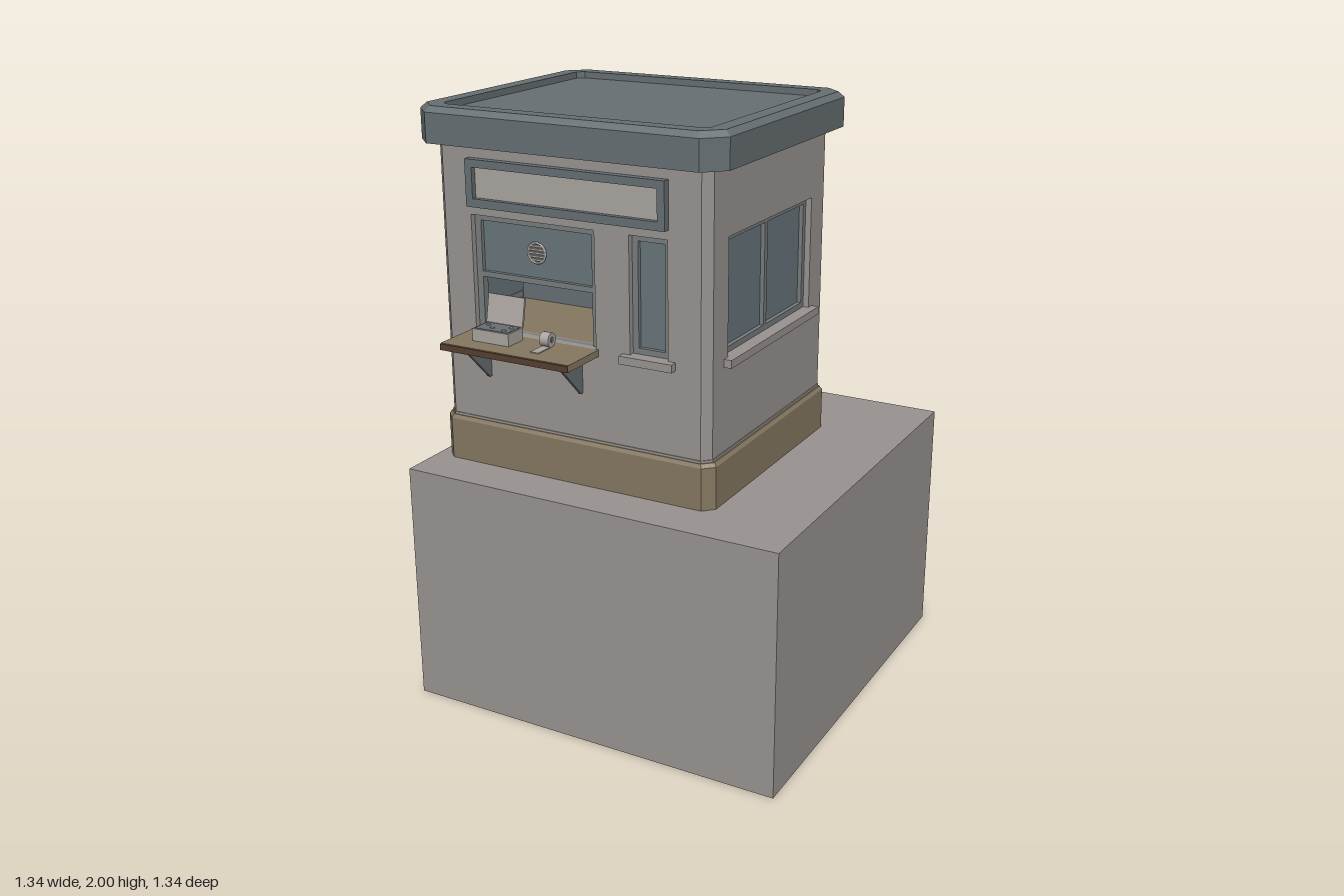
import * as THREE from 'three';

const flat = (name, color) => {
  const m = new THREE.MeshStandardMaterial({ color });
  m.name = name;
  return m;
};

// Chamfered rectangle, counter-clockwise seen from above: half sizes and corner cut
const octagon = (hx, hz, c) => [
  [hx, hz - c], [hx, c - hz], [hx - c, -hz], [c - hx, -hz],
  [-hx, c - hz], [-hx, hz - c], [c - hx, hz], [hx - c, hz],
];

// Skin over stacked chamfered rectangles [halfX, halfZ, cut, y], closed at both ends
function loft(levels) {
  const rings = levels.map(([hx, hz, c, y]) => octagon(hx, hz, c).map(([x, z]) => new THREE.Vector3(x, y, z)));
  const pos = [];
  const tri = (...pts) => pts.forEach((p) => pos.push(p.x, p.y, p.z));
  for (let r = 0; r < rings.length - 1; r++) {
    for (let i = 0; i < 8; i++) {
      const j = (i + 1) % 8, a = rings[r], b = rings[r + 1];
      tri(a[i], a[j], b[j]);
      tri(a[i], b[j], b[i]);
    }
  }
  const low = rings[0], top = rings[rings.length - 1];
  for (let i = 1; i < 7; i++) {
    tri(top[0], top[i], top[i + 1]);
    tri(low[0], low[i + 1], low[i]);
  }
  const g = new THREE.BufferGeometry();
  g.setAttribute('position', new THREE.Float32BufferAttribute(pos, 3));
  g.computeVertexNormals();
  return g;
}

// Rectangular panel with rectangular holes [x0, x1, y0, y1], from z = back to back + depth
function panel([x0, x1, y0, y1], holes, back, depth) {
  const outline = (P, a, b, c, d) => new P([[a, c], [b, c], [b, d], [a, d]].map((p) => new THREE.Vector2(...p)));
  const shape = outline(THREE.Shape, x0, x1, y0, y1);
  holes.forEach((h) => shape.holes.push(outline(THREE.Path, ...h)));
  return new THREE.ExtrudeGeometry(shape, { depth, bevelEnabled: false }).translate(0, 0, back);
}

export function createModel() {
  const stone = flat('warm grey', 0x989390);
  const slate = flat('slate', 0x666f72);
  const glass = flat('glass', 0x68757a);
  const frameMat = flat('frame grey', 0x777c7d);
  const wood = flat('wood', 0x857860);
  const edgeMat = flat('dark wood', 0x57402f);
  const pale = flat('pale', 0xa9a49f);

  const model = new THREE.Group();
  const add = (parent, name, geo, mat, x = 0, y = 0, z = 0) => {
    const m = new THREE.Mesh(geo, mat);
    m.name = name;
    m.position.set(x, y, z);
    parent.add(m);
    return m;
  };
  // Box given by its extents
  const block = (parent, name, mat, x0, x1, y0, y1, z0, z1) => add(parent, name,
    new THREE.BoxGeometry(x1 - x0, y1 - y0, z1 - z0), mat, (x0 + x1) / 2, (y0 + y1) / 2, (z0 + z1) / 2);

  // Ground block
  block(model, 'groundBlock', stone, -0.663, 0.67, 0, 0.83, -0.67, 0.66);

  // The booth is built around its own centre
  const CX = -0.131, CZ = 0.068, HX = 0.484, HZ = 0.424, CUT = 0.027;
  const Y0 = 0.97, Y1 = 1.89, WIN0 = 1.29, WIN1 = 1.665;
  const booth = new THREE.Group();
  booth.name = 'booth';
  booth.position.set(CX, 0, CZ);
  model.add(booth);

  add(booth, 'plinth', loft([
    [0.5, 0.437, 0.034, 0.83], [0.5, 0.437, 0.034, 0.97], [0.492, 0.43, 0.032, 0.982],
  ]), wood);
  add(booth, 'baseTrim', loft([[0.487, 0.427, 0.029, 0.98], [0.487, 0.427, 0.029, 0.99]]), stone);

  // Roof with chamfered fascia and a sunken top
  add(booth, 'roof', loft([
    [0.541, 0.478, 0.065, 1.886], [0.541, 0.478, 0.065, 1.982], [0.523, 0.46, 0.058, 2],
    [0.469, 0.407, 0.022, 2], [0.469, 0.407, 0.022, 1.978],
  ]), slate);

  // Cut corners between the walls
  for (const sx of [-1, 1]) {
    for (const sz of [-1, 1]) {
      const s = new THREE.Shape([[0, 0], [sx * CUT, 0], [0, sz * CUT]].map((p) => new THREE.Vector2(...p)));
      const g = new THREE.ExtrudeGeometry(s, { depth: Y1 - Y0, bevelEnabled: false });
      g.rotateX(Math.PI / 2);
      add(booth, 'corner', g, stone, sx * (HX - CUT), Y1, sz * (HZ - CUT));
    }
  }

  // Wall facing +z before turning, with its outer face at z = 0
  const wall = (name, half, openings, angle, dist) => {
    const w = new THREE.Group();
    w.name = name;
    w.rotation.y = angle;
    w.position.set(Math.sin(angle) * dist, 0, Math.cos(angle) * dist);
    booth.add(w);
    add(w, name + 'Panel', panel([-half, half, Y0, Y1], openings, -0.05, 0.05), stone);
    return w;
  };
  // Framed window made of panes side by side, with an optional sill
  const windowUnit = (w, [x0, x1, y0, y1], panes, sill = true) => {
    const t = 0.02, pw = (x1 - x0 - t * (panes + 1)) / panes;
    const holes = [];
    for (let i = 0; i < panes; i++) {
      const a = x0 + t + i * (pw + t);
      holes.push([a, a + pw, y0 + t, y1 - t]);
    }
    add(w, 'windowFrame', panel([x0, x1, y0, y1], holes, -0.045, 0.025), frameMat);
    block(w, 'windowGlass', glass, x0 + 0.005, x1 - 0.005, y0 + 0.005, y1 - 0.005, -0.042, -0.034);
    if (sill) block(w, 'sill', stone, x0 - 0.026, x1 + 0.026, 1.265, 1.291, -0.04, 0.026);
  };

  // Side and back walls
  const wide = [-0.3, 0.3, WIN0, WIN1], single = [-0.21, 0.21, WIN0, WIN1];
  for (const s of [-1, 1]) {
    windowUnit(wall(s > 0 ? 'leftWall' : 'rightWall', HZ - CUT, [wide], s * Math.PI / 2, HX), wide, 2);
  }
  windowUnit(wall('backWall', HX - CUT, [single], Math.PI, HZ), single, 1);

  // Front wall with service hatch and narrow window
  const hatch = [-0.358, 0.092, WIN0, WIN1], narrow = [0.213, 0.345, WIN0, WIN1];
  const front = wall('frontWall', HX - CUT, [hatch, narrow], 0, HZ);
  windowUnit(front, narrow, 1);
  const [hx0, hx1] = hatch;
  add(front, 'hatchFrame', panel(hatch, [
    [hx0 + 0.022, hx1 - 0.022, 1.48, WIN1 - 0.02], [hx0 + 0.022, hx1 - 0.022, WIN0, 1.462],
  ], -0.045, 0.025), frameMat);
  block(front, 'hatchGlass', glass, hx0 + 0.01, hx1 - 0.01, 1.47, WIN1 - 0.01, -0.042, -0.034);
  block(booth, 'interior', slate, -0.43, 0.43, Y0, 1.88, -0.36, 0.05);
  block(booth, 'innerCounter', wood, -0.43, 0.43, 1.268, 1.289, 0.04, 0.38);

  // Round speaking grille with slots
  const grille = new THREE.Group();
  grille.name = 'speakingGrille';
  grille.position.set(-0.136, 1.56, -0.03);
  front.add(grille);
  add(grille, 'grilleRing', new THREE.TorusGeometry(0.032, 0.004, 6, 24), pale);
  for (let i = -2; i <= 2; i++) {
    const l = Math.sqrt(0.032 ** 2 - (i * 0.011) ** 2);
    block(grille, 'grilleBar', pale, -l, l, i * 0.011 - 0.003, i * 0.011 + 0.003, -0.004, 0.003);
  }

  // Sign board above the hatch
  const sign = [-0.355, 0.349, 1.695, 1.845];
  add(front, 'signFrame', panel(sign, [[-0.33, 0.324, 1.722, 1.82]], 0, 0.026), slate);
  block(front, 'signPanel', pale, -0.34, 0.335, 1.71, 1.83, 0, 0.008);

  // Shelf with dark front edge and two triangular brackets
  block(model, 'shelf', wood, -0.5, -0.03, 1.268, 1.29, 0.44, 0.666);
  block(model, 'shelfEdge', edgeMat, -0.5, -0.03, 1.268, 1.288, 0.666, 0.671);
  for (const x of [-0.44, -0.095]) {
    const s = new THREE.Shape([[0, 0], [0, -0.13], [0.012, -0.13], [0.13, -0.012], [0.13, 0]].map((p) => new THREE.Vector2(...p)));
    const g = new THREE.ExtrudeGeometry(s, { depth: 0.01, bevelEnabled: false });
    g.rotateY(-Math.PI / 2);
    add(model, 'bracket', g, slate, x + 0.005, 1.269, 0.49);
  }

  // Open cash box with raised lid and coins
  const box = new THREE.Group();
  box.name = 'cashBox';
  box.position.set(-0.358, 1.29, 0.56);
  model.add(box);
  block(box, 'cashBoxBody', pale, -0.068, 0.068, 0, 0.04, -0.04, 0.04);
  block(box, 'cashTray', slate, -0.062, 0.062, 0.039, 0.042, -0.035, 0.035);
  for (const [x, z] of [[-0.01, 0.012], [0.04, 0.022], [0.045, -0.012], [-0.04, -0.01]]) {
    add(box, 'coin', new THREE.CylinderGeometry(0.007, 0.007, 0.004, 12), pale, x, 0.044, z);
  }
  const lid = block(box, 'cashBoxLid', pale, -0.068, 0.068, 0.04, 0.132, -0.055, -0.047);
  lid.rotation.x = -0.2;

  // Ticket roll with a loose strip
  const roll = add(model, 'ticketRoll', new THREE.CylinderGeometry(0.023, 0.023, 0.032, 20), pale, -0.185, 1.314, 0.54);
  roll.rotation.z = Math.PI / 2;
  const core = add(model, 'rollCore', new THREE.CylinderGeometry(0.009, 0.009, 0.036, 12), slate, -0.185, 1.314, 0.54);
  core.rotation.z = Math.PI / 2;
  block(model, 'ticketStrip', pale, -0.2, -0.17, 1.29, 1.293, 0.54, 0.615);

  return model;
}
